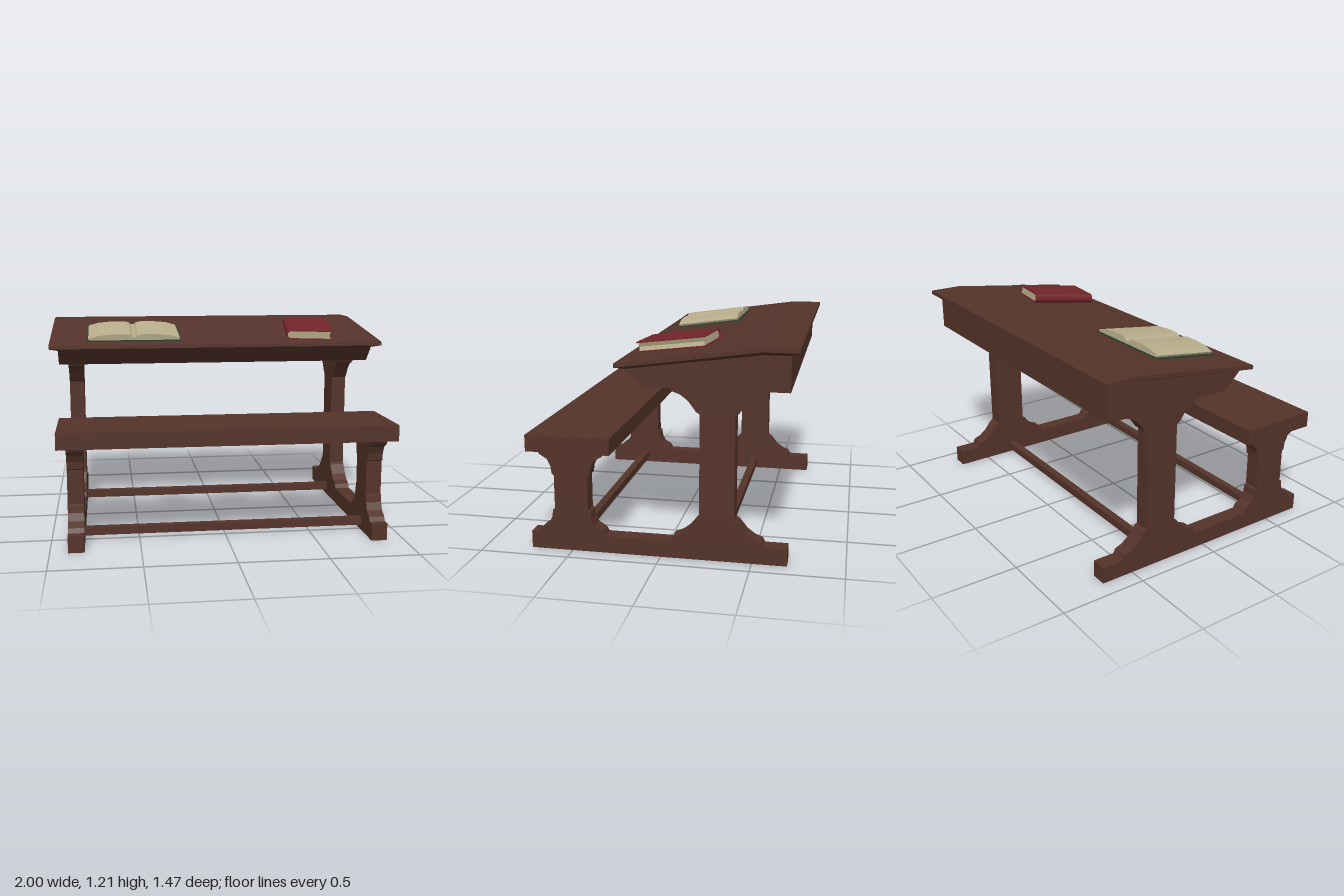
import * as THREE from 'three';

const material = (color) =>
  new THREE.MeshStandardMaterial({ color, flatShading: true, side: THREE.DoubleSide });

const wood = material(0x54332a);
const paper = material(0xb8ae8c);
const red = material(0x732529);
const green = material(0x2b4031);

function add(parent, name, geometry, mat, x = 0, y = 0, z = 0) {
  const mesh = new THREE.Mesh(geometry, mat);
  mesh.name = name;
  mesh.position.set(x, y, z);
  parent.add(mesh);
  return mesh;
}

// Outline in (x, y), extruded along z and centred on it
function slab(points, depth) {
  const shape = new THREE.Shape(points.map(([x, y]) => new THREE.Vector2(x, y)));
  return new THREE.ExtrudeGeometry(shape, { depth, bevelEnabled: false }).translate(0, 0, -depth / 2);
}

// Outline in (z, y), extruded along x
const sideSlab = (points, width) => slab(points, width).rotateY(-Math.PI / 2);

// Symmetrical post from a list of [half width, height] going up
function post(centre, half) {
  const right = half.map(([w, y]) => [centre + w, y]);
  const left = half.map(([w, y]) => [centre - w, y]).reverse();
  return sideSlab([...right, ...left], 0.09);
}

// Sloped lid: thin rim with a chamfered underside, stacked from three outlines
function lidGeometry() {
  const ring = (x, [front, fold, back]) => [
    [-x, front[1], front[0]], [x, front[1], front[0]], [x, fold[1], fold[0]],
    [x, back[1], back[0]], [-x, back[1], back[0]], [-x, fold[1], fold[0]],
  ];
  const rings = [
    ring(0.95, [[0.165, 1.05], [-0.55, 1.146], [-0.69, 1.146]]),
    ring(1, [[0.215, 1.063], [-0.55, 1.168], [-0.735, 1.168]]),
    ring(1, [[0.215, 1.085], [-0.55, 1.19], [-0.735, 1.19]]),
  ];
  const index = [];
  const quad = (a, b, c, d) => index.push(a, b, c, a, c, d);
  for (let r = 0; r < 2; r++) {
    for (let i = 0; i < 6; i++) {
      const j = (i + 1) % 6;
      quad(r * 6 + i, r * 6 + j, r * 6 + 6 + j, r * 6 + 6 + i);
    }
  }
  quad(12, 13, 14, 17);
  quad(17, 14, 15, 16);
  quad(5, 2, 1, 0);
  quad(4, 3, 2, 5);
  const geometry = new THREE.BufferGeometry();
  geometry.setAttribute('position', new THREE.Float32BufferAttribute(rings.flat(2), 3));
  geometry.setIndex(index);
  const flat = geometry.toNonIndexed();
  flat.computeVertexNormals();
  return flat;
}

function sideFrame() {
  const frame = new THREE.Group();
  frame.name = 'sideFrame';
  add(frame, 'foot', new THREE.BoxGeometry(0.09, 0.097, 1.425), wood, 0, 0.0485, 0.0225);
  add(frame, 'benchPost', post(0.5, [
    [0.19, 0.096], [0.175, 0.122], [0.132, 0.148], [0.112, 0.19], [0.107, 0.23], [0.095, 0.237],
    [0.095, 0.432], [0.107, 0.44], [0.112, 0.482], [0.132, 0.523], [0.175, 0.549], [0.19, 0.576],
  ]), wood);
  add(frame, 'deskPost', post(-0.31, [
    [0.253, 0.096], [0.24, 0.123], [0.197, 0.14], [0.157, 0.17], [0.113, 0.225], [0.095, 0.237],
    [0.095, 0.813], [0.113, 0.825], [0.157, 0.884], [0.197, 0.914], [0.24, 0.93], [0.253, 0.958],
  ]), wood);
  return frame;
}

function openBook() {
  const book = new THREE.Group();
  book.name = 'openBook';
  add(book, 'cover', new THREE.BoxGeometry(0.57, 0.006, 0.4), green, 0, 0.003, 0);
  // Page blocks swell beside the gutter and slope off at the outer edge
  const outline = [
    [0, 0.005], [0.268, 0.005], [0.274, 0.017], [0.21, 0.034], [0.13, 0.041],
    [0.05, 0.041], [0.022, 0.035], [0.008, 0.022], [0, 0.022],
  ];
  for (const side of [1, -1]) {
    const points = outline.map(([x, y]) => [side * x, y]);
    add(book, side > 0 ? 'leftPages' : 'rightPages', slab(points, 0.38), paper);
  }
  return book;
}

function closedBook() {
  const book = new THREE.Group();
  book.name = 'closedBook';
  // Cover with a rounded spine, open on the other three sides
  const spine = (start, bulge, low, high) => {
    const points = [];
    for (let i = 0; i <= 6; i++) {
      const a = (i / 6) * Math.PI;
      points.push([start - bulge * Math.sin(a), (low + high) / 2 - ((high - low) / 2) * Math.cos(a)]);
    }
    return points;
  };
  const outer = spine(-0.117, 0.024, 0, 0.057);
  const inner = spine(-0.115, 0.019, 0.006, 0.051);
  add(book, 'cover', slab([
    [0.14, 0], ...outer, [0.14, 0.057], [0.14, 0.051], ...inner.reverse(), [0.14, 0.006],
  ], 0.394), red);
  add(book, 'pages', slab([
    [0.13, 0.006], ...spine(-0.115, 0.018, 0.006, 0.051), [0.13, 0.051], [0.122, 0.028],
  ], 0.374), paper);
  return book;
}

export function createModel() {
  const model = new THREE.Group();
  model.name = 'schoolDesk';

  // Frames and the rails between them
  for (const side of [-1, 1]) {
    const frame = sideFrame();
    frame.position.x = side * 0.855;
    model.add(frame);
  }
  for (const z of [0.5, -0.31]) {
    add(model, 'rail', new THREE.BoxGeometry(1.64, 0.045, 0.045), wood, 0, 0.051, z);
  }

  // Bench seat
  add(model, 'seat', new THREE.BoxGeometry(1.9, 0.092, 0.47), wood, 0, 0.621, 0.5);

  // Desk box and lid
  add(model, 'deskBox', sideSlab([
    [0.07, 0.957], [0.165, 1.051], [-0.55, 1.147], [-0.69, 1.147], [-0.69, 0.957],
  ], 1.9), wood);
  add(model, 'deskLid', lidGeometry(), wood);

  // Books lying on the slope
  const slope = Math.atan(0.137);
  const open = openBook();
  open.position.set(-0.498, 1.124, -0.068);
  open.rotation.x = slope;
  const closed = closedBook();
  closed.position.set(0.595, 1.122, -0.05);
  closed.rotation.set(slope, -0.14, 0);
  model.add(open, closed);

  return model;
}
